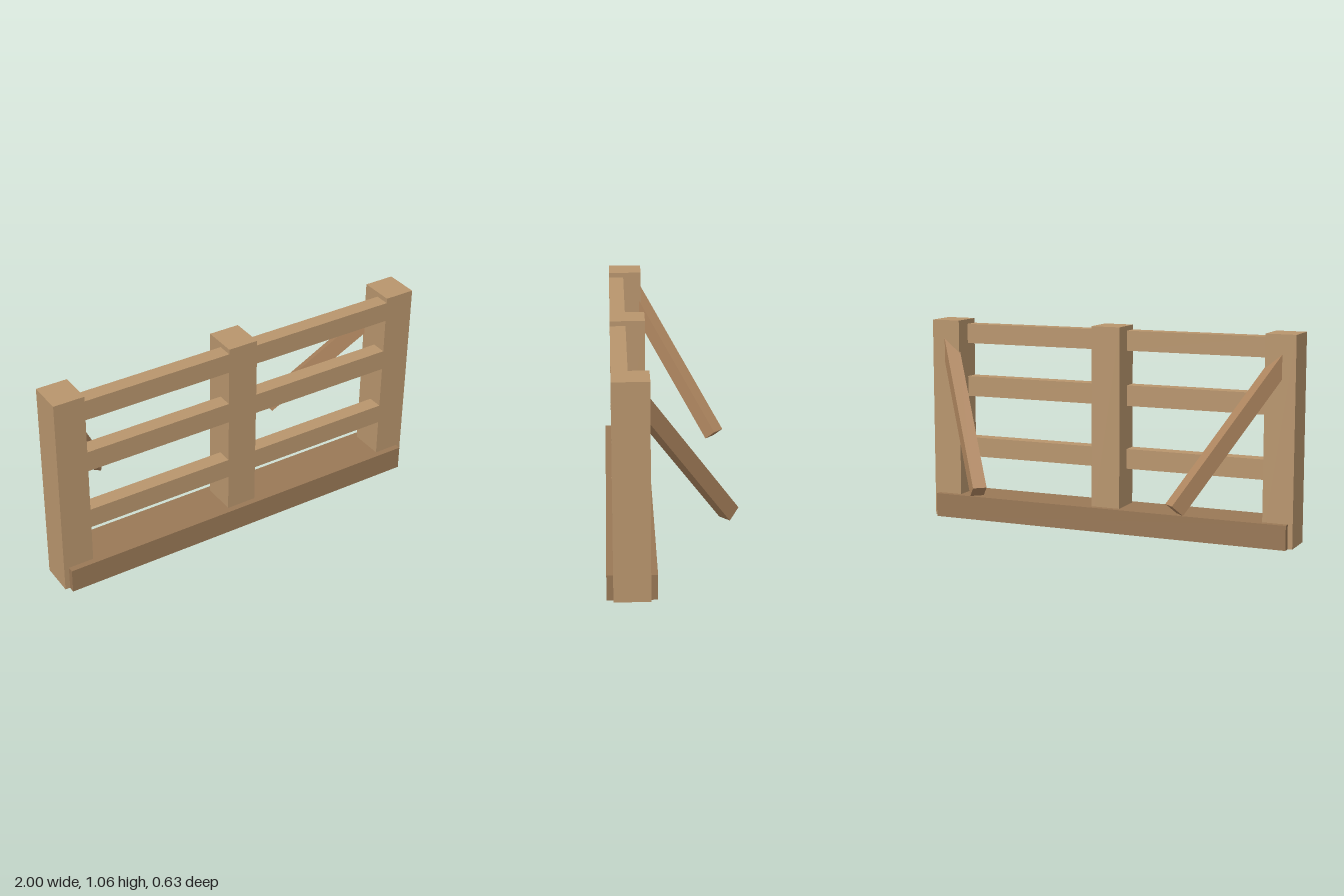
import * as THREE from 'three';

export function createModel() {
  const group = new THREE.Group();
  const wood = new THREE.MeshStandardMaterial({ color: 0xb8956d, flatShading: true });
  const darkWood = new THREE.MeshStandardMaterial({ color: 0x997856, flatShading: true });
  const braceWood = new THREE.MeshStandardMaterial({ color: 0xb08760, flatShading: true });

  // Box given by its limits on each axis
  function beam(name, material, [x0, x1], [y0, y1], [z0, z1]) {
    const mesh = new THREE.Mesh(new THREE.BoxGeometry(x1 - x0, y1 - y0, z1 - z0), material);
    mesh.position.set((x0 + x1) / 2, (y0 + y1) / 2, (z0 + z1) / 2);
    mesh.name = name;
    group.add(mesh);
  }

  // Ground beam
  beam('baseBeam', darkWood, [-0.975, 0.975], [0, 0.125], [0.083, 0.318]);

  // Three posts
  for (const [name, x] of [['rightPost', -0.922], ['middlePost', 0], ['leftPost', 0.922]]) {
    beam(name, wood, [x - 0.078, x + 0.078], [0.002, 1.056], [0.115, 0.287]);
  }

  // Rails between the posts, flush with their front
  for (const [name, y0, y1] of [['lowerRail', 0.318, 0.421], ['middleRail', 0.645, 0.751], ['topRail', 0.929, 1.031]]) {
    for (const side of [-1, 1]) {
      const xs = [side * 0.078, side * 0.844].sort((a, b) => a - b);
      beam((side > 0 ? 'left ' : 'right ') + name, wood, xs, [y0, y1], [0.21, 0.287]);
    }
  }

  // Diagonal braces running from the outer posts down, back and inward
  for (const side of [-1, 1]) {
    const foot = new THREE.Vector3(side * 0.529, 0.235, -0.27);
    const along = new THREE.Vector3(side * 0.435, 0.766, 0.473).normalize();
    const across = new THREE.Vector3().crossVectors(new THREE.Vector3(0, 1, 0), along).normalize();
    const thick = new THREE.Vector3().crossVectors(across, along);
    const length = 0.93;
    const brace = new THREE.Mesh(new THREE.BoxGeometry(0.07, length, 0.078), braceWood);
    brace.quaternion.setFromRotationMatrix(
      new THREE.Matrix4().makeBasis(across, along, thick));
    brace.position.copy(foot).addScaledVector(along, length / 2);
    brace.name = side > 0 ? 'leftBrace' : 'rightBrace';
    group.add(brace);
  }

  return group;
}
